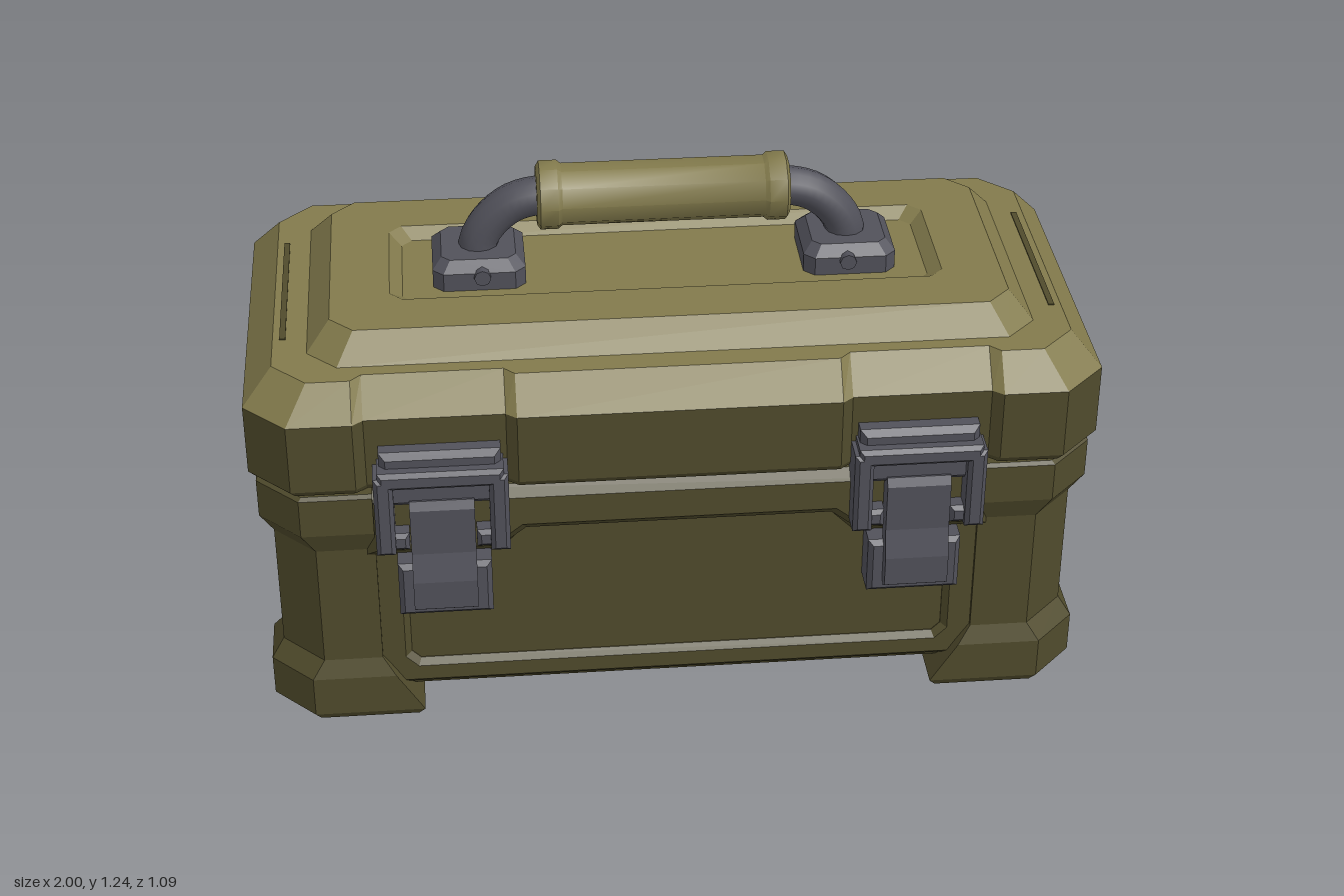
import * as THREE from 'three';
import { toCreasedNormals } from 'three/addons/utils/BufferGeometryUtils.js';

const material = (name, color) => {
  const m = new THREE.MeshStandardMaterial({ color });
  m.name = name;
  return m;
};

// Closed solid through plan loops [y, [[x, z], ...]] with flat faces and caps
function loft(levels) {
  const pos = [];
  const at = (l, i) => {
    const [x, z] = l[1][i % l[1].length];
    return [x, l[0], z];
  };
  for (let k = 0; k + 1 < levels.length; k++) {
    const a = levels[k], b = levels[k + 1];
    for (let i = 0; i < a[1].length; i++) {
      pos.push(...at(a, i), ...at(b, i), ...at(a, i + 1));
      pos.push(...at(a, i + 1), ...at(b, i), ...at(b, i + 1));
    }
  }
  const cap = (l, flip) => {
    const faces = THREE.ShapeUtils.triangulateShape(l[1].map(p => new THREE.Vector2(...p)), []);
    for (const [i, j, k] of faces) {
      pos.push(...at(l, i), ...at(l, flip ? k : j), ...at(l, flip ? j : k));
    }
  };
  cap(levels[0], false);
  cap(levels[levels.length - 1], true);
  const g = new THREE.BufferGeometry();
  g.setAttribute('position', new THREE.Float32BufferAttribute(pos, 3));
  g.computeVertexNormals();
  return g;
}

// Complete a quadrant outline (from the +x side to the +z side) by mirroring
const mirror4 = q => {
  const r = [...q].reverse();
  return [...q, ...r.map(([x, z]) => [-x, z]), ...q.map(([x, z]) => [-x, -z]), ...r.map(([x, z]) => [x, -z])];
};
const oct = (y, hx, hz, ch) => [y, mirror4([[hx, hz - ch], [hx - ch, hz]])];

// Lid outline with latch bays (depth bay) and side recesses (depth side)
const lidLoop = (y, hx, hz, ch, bay, side) => [y, mirror4([
  [hx - side, 0.2], [hx, 0.215], [hx, hz - ch], [hx - ch, hz],
  [0.75, hz], [0.725, hz - bay], [0.4, hz - bay], [0.375, hz]])];

const shapeOf = pts => new THREE.Shape(pts.map(p => new THREE.Vector2(...p)));

// Bevelled plate whose front face lies at z = front
function plate(pts, depth, bevel, front, hole) {
  const s = shapeOf(pts);
  if (hole) s.holes.push(shapeOf(hole));
  const g = new THREE.ExtrudeGeometry(s, {
    depth: depth - 2 * bevel, bevelEnabled: bevel > 0, bevelThickness: bevel,
    bevelSize: bevel, bevelSegments: 1, curveSegments: 6
  });
  return g.translate(0, 0, front - depth + bevel);
}
const rect = (x0, y0, x1, y1) => [[x0, y0], [x1, y0], [x1, y1], [x0, y1]];
const block = (x0, x1, y0, y1, z0, z1, b = 0.01) =>
  plate(rect(x0 + b, y0 + b, x1 - b, y1 - b), z1 - z0, b, z1);
const mirrorX = half => [...half, ...[...half].reverse().map(([x, y]) => [-x, y])];

export function createModel() {
  const olive = material('dark olive', 0x504b2c);
  const khaki = material('light khaki', 0x827a4c);
  const metal = material('grey metal', 0x51515a);

  const model = new THREE.Group();
  model.name = 'ammoBox';
  const box = new THREE.Group();
  box.name = 'box';
  box.position.z = -0.01;
  model.add(box);

  const group = (name, parent = box) => {
    const g = new THREE.Group();
    g.name = name;
    parent.add(g);
    return g;
  };
  const add = (parent, name, geometry, mat) => {
    const m = new THREE.Mesh(geometry, mat);
    m.name = name;
    parent.add(m);
    return m;
  };

  // Body core
  add(box, 'bodyCore', loft([oct(0.055, 0.91, 0.412, 0.1), oct(0.08, 0.93, 0.43, 0.1), oct(0.67, 0.93, 0.43, 0.1)]), olive);

  // Corner posts with flared feet and rim: [y, outer x, outer z, inner x, inner z]
  const post = loft([
    [0, 0.972, 0.463, 0.635, 0.2], [0.02, 0.985, 0.475, 0.62, 0.19], [0.125, 0.985, 0.475, 0.685, 0.24],
    [0.17, 0.955, 0.457, 0.715, 0.265], [0.49, 0.955, 0.457, 0.715, 0.265],
    [0.55, 0.985, 0.482, 0.715, 0.265], [0.648, 0.985, 0.482, 0.715, 0.265], [0.657, 0.978, 0.475, 0.715, 0.265]
  ].map(([y, xo, zo, ix, iz]) => [y, [
    [xo, iz], [xo, zo - 0.1], [xo - 0.1, zo], [ix, zo], [ix, zo - 0.12], [xo - 0.12, zo - 0.12], [xo - 0.12, iz]]]));
  for (const sx of [1, -1]) for (const sz of [1, -1]) {
    add(box, 'cornerPost', post, olive).scale.set(sx, 1, sz);
  }

  // Long walls: recessed panel frame and stepped upper rim
  const longFrame = plate(rect(-0.74, 0.09, 0.74, 0.6), 0.05, 0.015, 0.447,
    mirrorX([[0.63, 0.13], [0.66, 0.16], [0.66, 0.47], [0.43, 0.47], [0.37, 0.53]]));
  const longRim = plate(mirrorX([[0.37, 0.555], [0.44, 0.5], [0.71, 0.5], [0.71, 0.63]]), 0.09, 0.025, 0.482);
  for (const [i, side] of ['front', 'back'].entries()) {
    const wall = group(side + 'Wall');
    wall.rotation.y = i * Math.PI;
    add(wall, 'panelFrame', longFrame, olive);
    add(wall, 'upperRim', longRim, olive);
  }

  // Short walls: panel frame, rim and raised cartridge relief
  const turn = g => g.rotateY(Math.PI / 2);
  const endFrame = turn(plate(rect(-0.28, 0.09, 0.28, 0.6), 0.05, 0.012, 0.947,
    mirrorX([[0.23, 0.13], [0.26, 0.16], [0.26, 0.46], [0.215, 0.505]])));
  const endRim = turn(plate(rect(-0.27, 0.55, 0.27, 0.632), 0.09, 0.025, 0.985));
  const mirrorY = half => [...half, ...[...half].reverse().map(([x, y]) => [x, -y])];
  const relief = half => turn(plate(mirrorY(half).map(([x, y]) => [x - 0.01, y + 0.322]), 0.03, 0.006, 0.943));
  const casing = relief([[-0.195, 0.066], [-0.165, 0.066], [-0.16, 0.05], [-0.148, 0.05], [-0.138, 0.064],
    [0.04, 0.064], [0.09, 0.042]]);
  const tip = relief([[0.113, 0.042], [0.15, 0.038], [0.19, 0.025], [0.232, 0.003]]);
  for (const [sx, side] of [[1, 'left'], [-1, 'right']]) {
    const wall = group(side + 'Wall');
    wall.scale.x = sx;
    add(wall, 'panelFrame', endFrame, olive);
    add(wall, 'upperRim', endRim, olive);
    add(wall, 'cartridgeCase', casing, olive);
    add(wall, 'cartridgeTip', tip, olive);
  }

  // Lid: dark skirt, light sloped shoulder and raised top with a shallow recess
  const lid = group('lid');
  add(lid, 'lidSkirt', loft([
    lidLoop(0.665, 0.99, 0.48, 0.1, 0.02, 0.02), lidLoop(0.68, 1, 0.49, 0.1, 0.02, 0.02),
    lidLoop(0.74, 1, 0.49, 0.1, 0.02, 0.02), lidLoop(0.775, 1, 0.49, 0.1, 0.02, 0),
    lidLoop(0.855, 1, 0.49, 0.1, 0.02, 0)]), olive);
  add(lid, 'lidShoulder', loft([
    lidLoop(0.855, 1, 0.49, 0.1, 0.02, 0), lidLoop(0.935, 0.93, 0.425, 0.08, 0.025, 0)]), khaki);
  add(lid, 'lidTop', loft([
    oct(0.93, 0.852, 0.367, 0.07), oct(0.935, 0.85, 0.365, 0.07), oct(1, 0.795, 0.31, 0.055),
    oct(1, 0.655, 0.178, 0.03), oct(0.975, 0.625, 0.148, 0.025)]), khaki);
  for (const sx of [1, -1]) {
    add(lid, 'lidSlot', new THREE.BoxGeometry(0.014, 0.004, 0.46).translate(sx * 0.907, 0.936, 0), olive);
  }

  // Front latches
  const lever = new THREE.ExtrudeGeometry(shapeOf([
    [0.48, 0.66], [0.52, 0.66], [0.532, 0.64], [0.532, 0.52], [0.55, 0.45], [0.55, 0.375], [0.53, 0.36],
    [0.5, 0.38], [0.505, 0.45], [0.48, 0.52]].map(([z, y]) => [-z, y])), { depth: 0.15, bevelEnabled: false })
    .rotateY(Math.PI / 2).translate(-0.075, 0, 0);
  for (const x of [-0.555, 0.555]) {
    const latch = group('latch');
    latch.position.x = x;
    add(latch, 'lidMount', block(-0.14, 0.14, 0.64, 0.785, 0.44, 0.515, 0.015), metal);
    add(latch, 'hookBar', block(-0.145, 0.145, 0.705, 0.75, 0.46, 0.545), metal);
    for (const s of [1, -1]) {
      const arm = s > 0 ? [0.11, 0.155] : [-0.155, -0.11];
      add(latch, 'latchArm', block(...arm, 0.525, 0.735, 0.44, 0.545), metal);
      add(latch, 'armFoot', block(...arm.map(v => v - s * 0.032), 0.525, 0.57, 0.46, 0.525), metal);
    }
    add(latch, 'lever', lever, metal);
    add(latch, 'catchPlate', block(-0.11, 0.11, 0.33, 0.475, 0.42, 0.515, 0.012), metal);
  }

  // Rear hinges, built facing +z and turned around
  const bolt = new THREE.CylinderGeometry(0.016, 0.022, 0.02, 8).rotateX(Math.PI / 2);
  const rod = (w, r) => new THREE.CylinderGeometry(r, r, w, 10).rotateZ(Math.PI / 2);
  for (const x of [-0.555, 0.555]) {
    const hinge = group('hinge');
    hinge.rotation.y = Math.PI;
    hinge.position.x = x;
    add(hinge, 'lowerLeaf', block(-0.155, 0.155, 0.42, 0.655, 0.43, 0.512), metal);
    add(hinge, 'upperLeaf', block(-0.155, 0.155, 0.705, 0.78, 0.44, 0.52), metal);
    add(hinge, 'hingeCore', block(-0.15, 0.15, 0.63, 0.73, 0.44, 0.5), metal);
    add(hinge, 'knuckle', toCreasedNormals(rod(0.12, 0.033), 0.7).translate(0, 0.68, 0.503), metal);
    for (const s of [1, -1]) {
      add(hinge, 'hingeEar', block(s * 0.11 - 0.042, s * 0.11 + 0.042, 0.64, 0.72, 0.44, 0.517), metal);
      add(hinge, 'earBolt', bolt, metal).position.set(s * 0.11, 0.68, 0.522);
      add(hinge, 'leafBolt', bolt, metal).position.set(s * 0.08, 0.48, 0.519);
    }
  }

  // Carry handle: brackets, bent tubes and grip
  const handle = group('handle');
  const tube = new THREE.TubeGeometry(new THREE.CatmullRomCurve3([
    [0.445, 1.01], [0.437, 1.06], [0.41, 1.105], [0.36, 1.147], [0.31, 1.163], [0.26, 1.165]
  ].map(([x, y]) => new THREE.Vector3(x, y, 0))), 14, 0.047, 12);
  const bracket = loft([
    oct(0.97, 0.11, 0.108, 0.025), oct(1.02, 0.11, 0.108, 0.025), oct(1.045, 0.088, 0.083, 0.02)]);
  for (const sx of [1, -1]) {
    const side = group('handleSide', handle);
    side.scale.x = sx;
    add(side, 'handleTube', tube, metal);
    add(side, 'handleBracket', bracket.clone().translate(0.442, 0, 0), metal);
    add(side, 'bracketPin', new THREE.CylinderGeometry(0.02, 0.02, 0.24, 8).rotateX(Math.PI / 2)
      .translate(0.435, 1.012, 0), metal);
  }
  const profile = mirrorX([[0.3, 0], [0.3, 0.07], [0.292, 0.083], [0.25, 0.083], [0.24, 0.075]]);
  const grip = new THREE.LatheGeometry(profile.reverse().map(([x, r]) => new THREE.Vector2(r, x)), 10);
  add(handle, 'grip', toCreasedNormals(grip, 0.7).rotateZ(Math.PI / 2).translate(0, 1.165, 0), khaki);

  return model;
}
